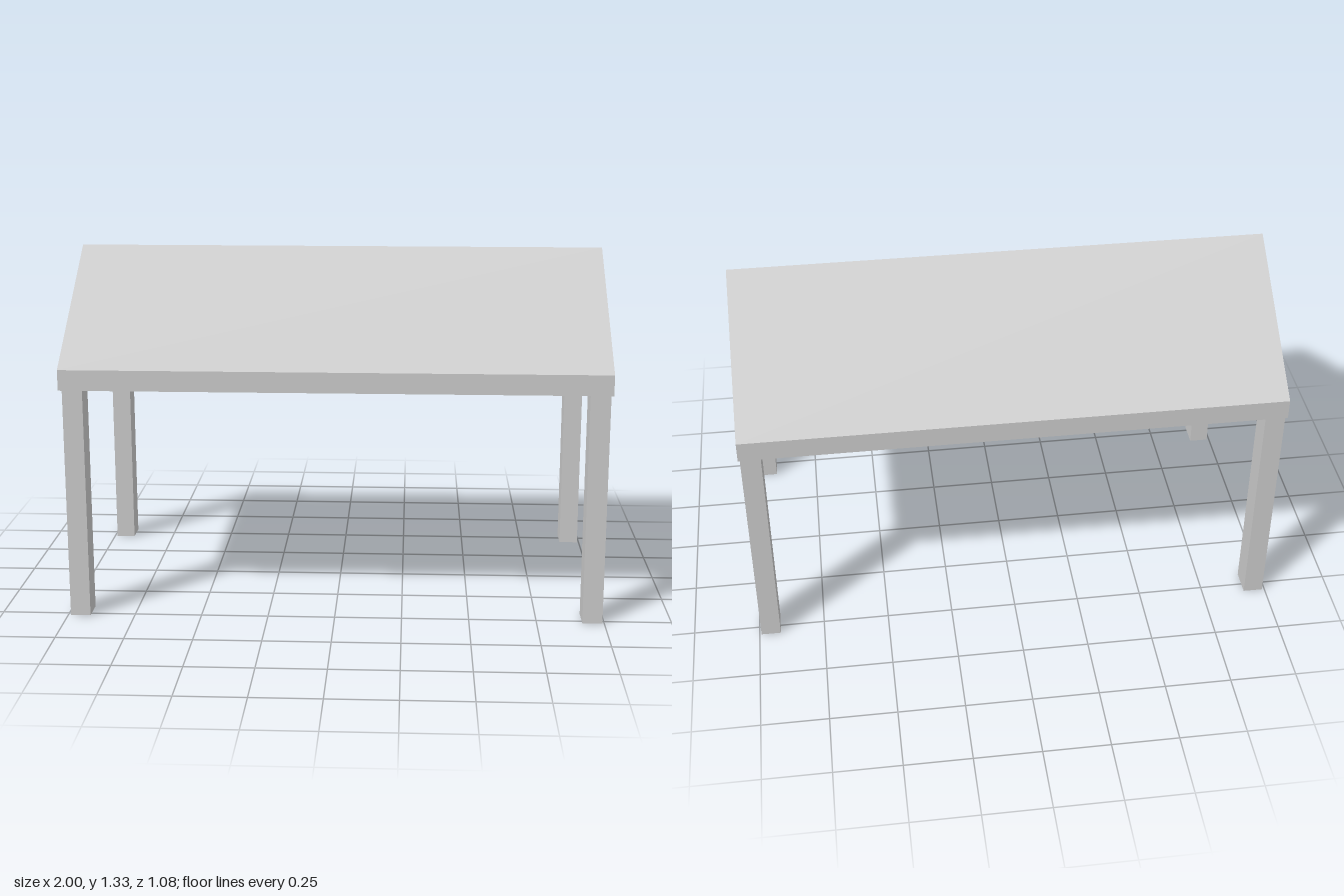
import * as THREE from 'three';

export function createModel() {
  const group = new THREE.Group();
  const material = new THREE.MeshStandardMaterial({ color: 0xcccccc, flatShading: true });

  const halfDepth = 0.54, bottom = 0.867, eave = 0.943, ridge = 1.327;

  // Solid gabled roof: the gable outline extruded along x
  const gable = new THREE.Shape([
    new THREE.Vector2(-halfDepth, bottom),
    new THREE.Vector2(halfDepth, bottom),
    new THREE.Vector2(halfDepth, eave),
    new THREE.Vector2(0, ridge),
    new THREE.Vector2(-halfDepth, eave),
  ]);
  const roofGeometry = new THREE.ExtrudeGeometry(gable, { depth: 2, bevelEnabled: false });
  roofGeometry.translate(0, 0, -1).rotateY(Math.PI / 2);
  const roof = new THREE.Mesh(roofGeometry, material);
  roof.name = 'roof';
  group.add(roof);

  // Four corner posts; the back pair is flush with the roof edge
  const postGeometry = new THREE.BoxGeometry(0.074, bottom, 0.097);
  for (const [side, x] of [['Right', -0.953], ['Left', 0.956]]) {
    for (const [end, z] of [['front', 0.472], ['back', -0.4915]]) {
      const post = new THREE.Mesh(postGeometry, material);
      post.name = `${end}${side}Post`;
      post.position.set(x, bottom / 2, z);
      group.add(post);
    }
  }

  return group;
}
